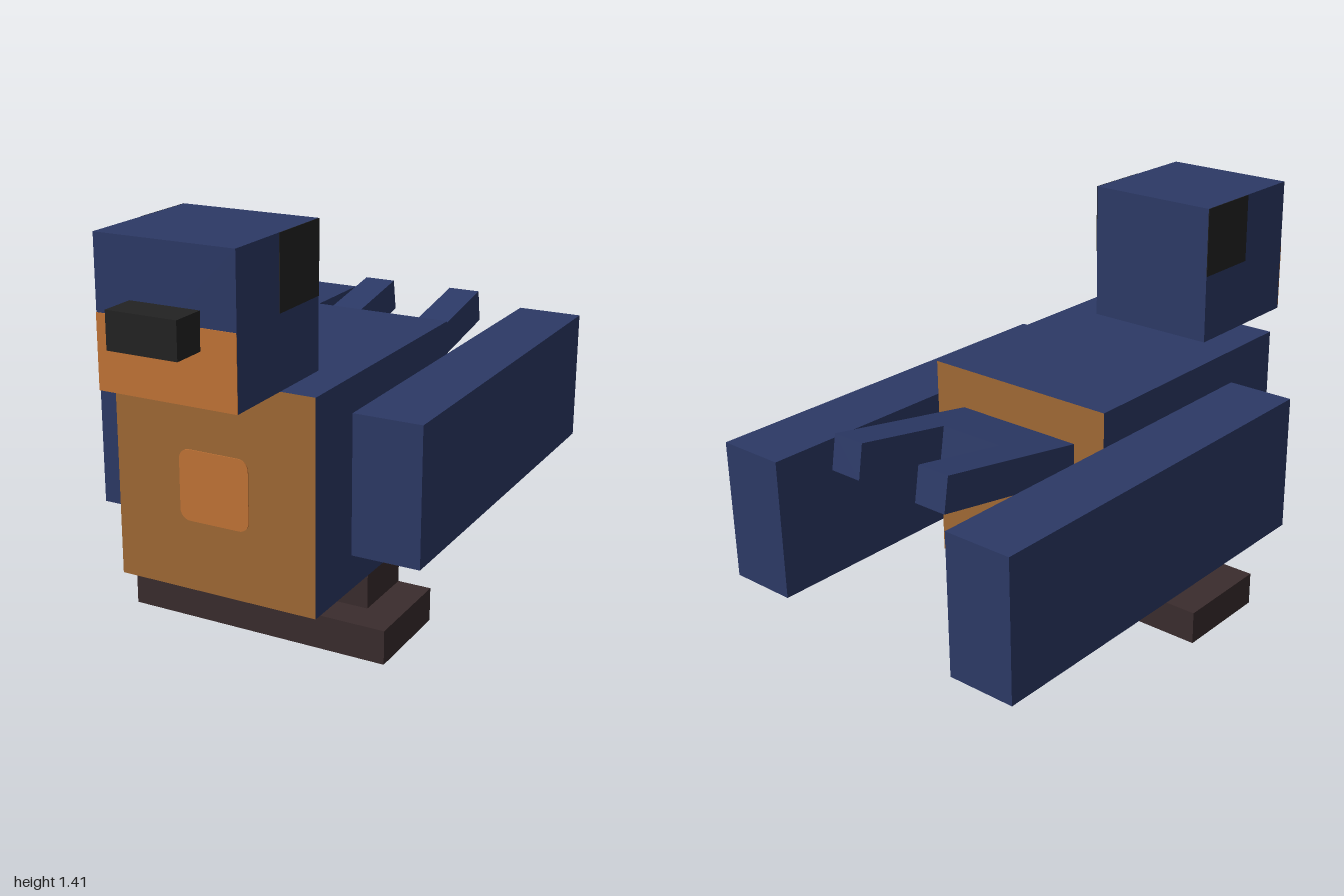
import * as THREE from 'three';

const U = 2 / 17; // block unit

export function createModel() {
  const model = new THREE.Group();
  model.name = 'blockBird';

  const mat = (name, color) => {
    const m = new THREE.MeshStandardMaterial({ color });
    m.name = name;
    return m;
  };
  const blue = mat('featherBlue', 0x2c3966);
  const brown = mat('bellyBrown', 0xa06935);
  const orange = mat('breastOrange', 0xc27436);
  const black = mat('beakBlack', 0x222222);
  const dark = mat('legBrown', 0x3a2c2d);

  const add = (name, geometry, material) => {
    const mesh = new THREE.Mesh(geometry, material);
    mesh.name = name;
    model.add(mesh);
    return mesh;
  };
  // Box given by its min and max corners in block units
  const box = (name, material, [x0, y0, z0], [x1, y1, z1]) => {
    const mesh = add(name, new THREE.BoxGeometry((x1 - x0) * U, (y1 - y0) * U, (z1 - z0) * U), material);
    mesh.position.set((x0 + x1) / 2 * U, (y0 + y1) / 2 * U, (z0 + z1) / 2 * U);
    return mesh;
  };

  // Body: blue sides and top, brown underside, front and back
  box('body', [blue, blue, blue, brown, brown, brown], [-3, 2, -2.5], [3, 8, 5.5]);

  // Breast patch with rounded corners
  const w = 0.123, h = 0.118, r = 0.035;
  const patch = new THREE.Shape();
  patch.moveTo(-w + r, -h);
  patch.absarc(w - r, -h + r, r, -Math.PI / 2, 0);
  patch.absarc(w - r, h - r, r, 0, Math.PI / 2);
  patch.absarc(-w + r, h - r, r, Math.PI / 2, Math.PI);
  patch.absarc(-w + r, -h + r, r, Math.PI, Math.PI * 1.5);
  add('breastPatch', new THREE.ExtrudeGeometry(patch, { depth: 0.003, bevelEnabled: false, curveSegments: 6 }), orange)
    .position.set(0, 5 * U, 5.5 * U);

  // Head, orange throat and beak
  box('head', [blue, blue, blue, orange, blue, blue], [-2, 8, 3.5], [2, 12, 7.5]);
  box('throat', orange, [-2, 8, 7.5], [2, 10, 7.52]);
  box('beak', black, [-1, 9.42, 7.5], [1, 10.42, 8.5]);

  // Mirrored parts
  for (const [side, s] of [['left', 1], ['right', -1]]) {
    const sideBox = (name, material, x0, x1, y0, y1, z0, z1) =>
      box(side + name, material, [Math.min(s * x0, s * x1), y0, z0], [Math.max(s * x0, s * x1), y1, z1]);
    sideBox('Eye', black, 2, 2.02, 10, 12, 3.5, 5.5);
    sideBox('Wing', blue, 3, 5, 3, 7, -8.5, 3.5);
    sideBox('Leg', dark, 1, 3, 1, 2, 0.5, 2.5);
    sideBox('Foot', dark, 0, 4, 0, 1, 0.5, 3.5);
  }

  // Forked tail, laid flat pointing back and tilted up
  const fork = new THREE.Shape(
    [[-2, 0], [2, 0], [2, 5], [1, 5], [1, 2], [-1, 2], [-1, 5], [-2, 5]]
      .map(([x, y]) => new THREE.Vector2(x * U, y * U)));
  const tailGeo = new THREE.ExtrudeGeometry(fork, { depth: U, bevelEnabled: false });
  tailGeo.rotateX(-Math.PI / 2);
  const tail = add('tail', tailGeo, blue);
  tail.rotation.x = THREE.MathUtils.degToRad(10);
  tail.position.set(0, 0.687, -0.301);

  return model;
}
